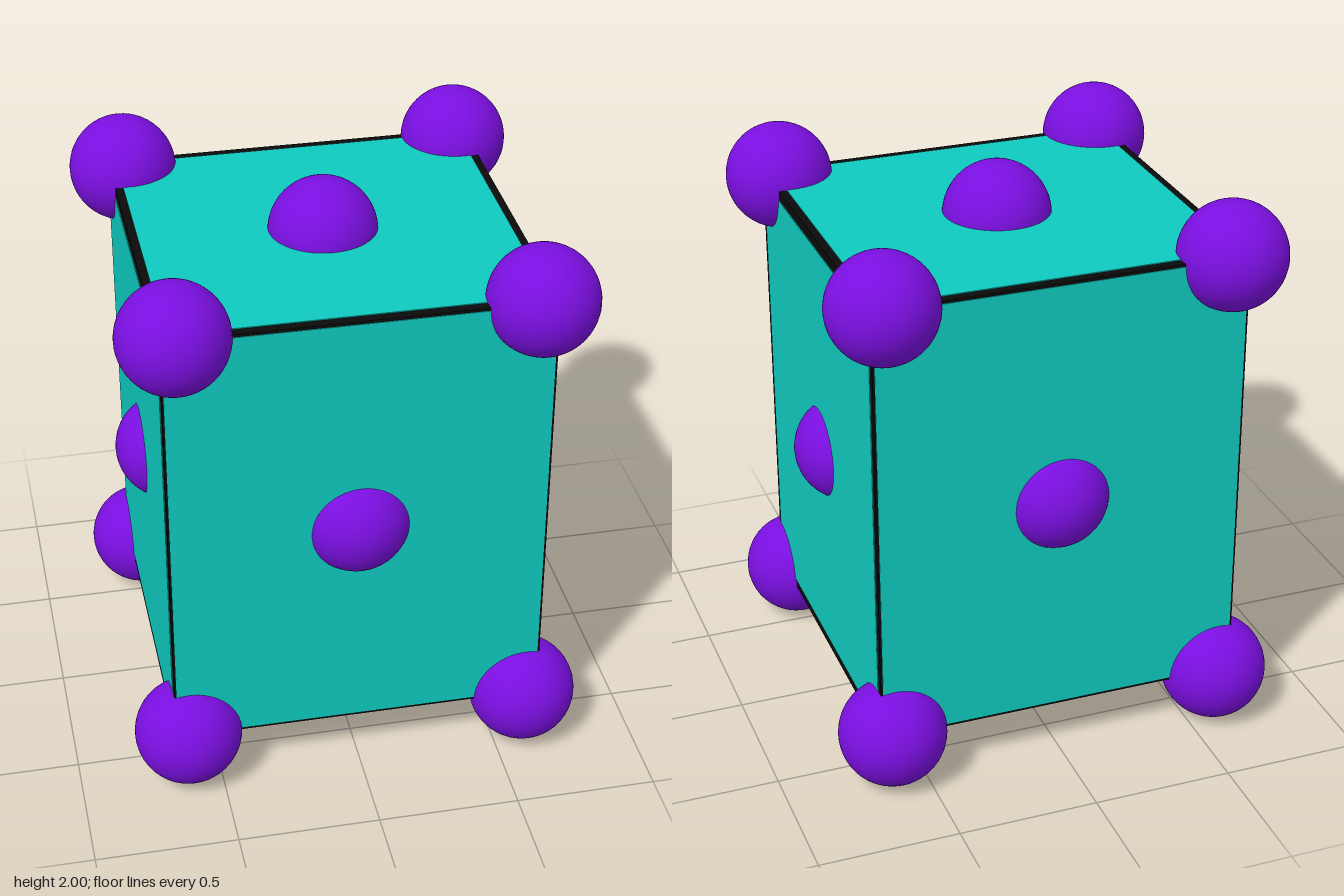
import * as THREE from 'three';

export function createModel() {
  const group = new THREE.Group();
  const material = (color) => new THREE.MeshStandardMaterial({ color });
  const black = material(0x0a0a0a);
  const teal = material(0x0fcabf);
  const purple = material(0x7a0fe0);

  const add = (name, geometry, mat, x, y, z) => {
    const mesh = new THREE.Mesh(geometry, mat);
    mesh.name = name;
    mesh.position.set(x, y, z);
    group.add(mesh);
  };

  // Dark core, visible only as a border along the edges
  const W = 1.32, H = 1.63, D = 1.29, midY = 1.005;
  add('frame', new THREE.BoxGeometry(W, H, D), black, 0, midY, 0);

  // Coloured panels, one pair per axis, standing just proud of the core
  const lift = 0.006;
  add('frontBackPanels', new THREE.BoxGeometry(1.305, 1.61, D + lift), teal, 0, midY, 0);
  add('sidePanels', new THREE.BoxGeometry(W + lift, 1.56, 1.24), teal, 0, midY, 0);
  add('topBottomPanels', new THREE.BoxGeometry(1.265, H + lift, 1.225), teal, 0, midY, 0);

  // Balls on the eight corners and in the middle of the six faces
  const ball = new THREE.SphereGeometry(0.19, 48, 32);
  for (const s of [-1, 1]) {
    for (const x of [-0.61, 0.61])
      for (const z of [-0.61, 0.61]) add('cornerBall', ball, purple, x, 1 + s * 0.81, z);
    add('faceBall', ball, purple, s * 0.562, 1, 0);
    add('faceBall', ball, purple, 0, 1, s * 0.562);
    add('faceBall', ball, purple, 0, 1 + s * 0.81, 0);
  }
  return group;
}
